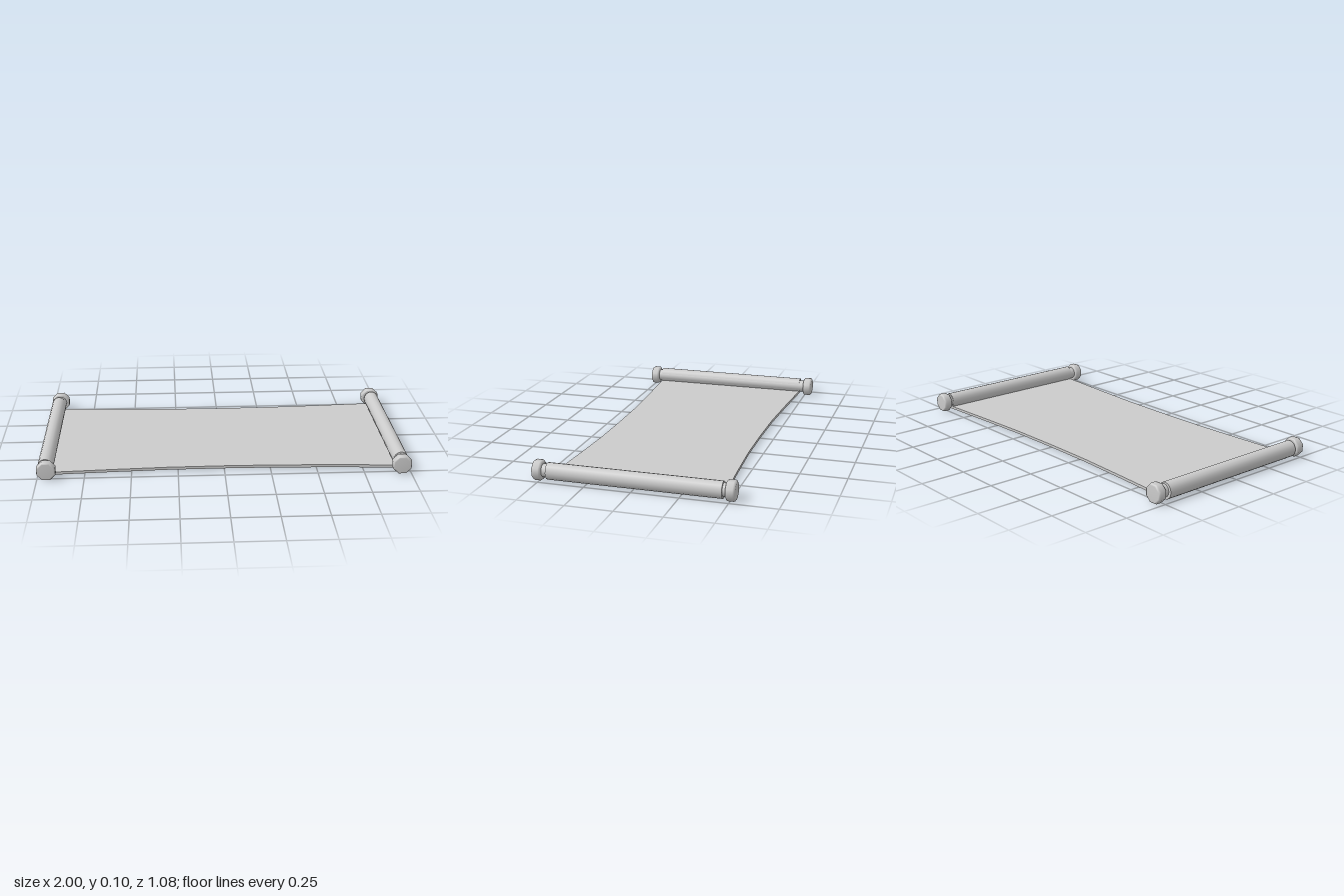
import * as THREE from 'three';

const material = new THREE.MeshStandardMaterial({ color: 0xcccccc });
const AXIS_Y = 0.05;

function add(parent, name, geometry) {
  const mesh = new THREE.Mesh(geometry, material);
  mesh.name = name;
  parent.add(mesh);
  return mesh;
}

// Eight-sided knob with bevelled rims, lying along z, flat side up
function knobGeometry() {
  const r = 0.05 / Math.cos(Math.PI / 8);
  const profile = [
    [0, -0.025], [r - 0.01, -0.025], [r - 0.003, -0.022], [r, -0.014],
    [r, 0.014], [r - 0.003, 0.022], [r - 0.01, 0.025], [0, 0.025],
  ].map(([x, y]) => new THREE.Vector2(x, y));
  return new THREE.LatheGeometry(profile, 8, Math.PI / 8).rotateX(Math.PI / 2);
}

// Rod with a knob at each end and the rolled-up part of the sheet around it
function roller(name, x, shift, rollX) {
  const group = new THREE.Group();
  group.name = name;
  group.position.set(x, AXIS_Y, shift);
  add(group, 'rod', new THREE.CylinderGeometry(0.035, 0.035, 1.02, 16).rotateX(Math.PI / 2));
  for (const side of [-1, 1]) {
    add(group, 'knob', knobGeometry()).position.z = side * 0.507;
  }
  const roll = add(group, 'sheetRoll',
    new THREE.CylinderGeometry(0.045, 0.045, 0.922, 16).rotateX(Math.PI / 2).scale(0.92, 1, 1));
  roll.position.set(rollX - x, 0, -shift - 0.002);
  return group;
}

// Thin unrolled sheet, narrowing towards the middle
function sheetGeometry() {
  const edge = [[-0.95, 0.459], [-0.92, 0.457], [-0.6, 0.439], [-0.3, 0.425], [0, 0.422],
    [0.3, 0.425], [0.6, 0.439], [0.92, 0.457], [0.95, 0.459]];
  const outline = [
    ...edge.map(([x, z]) => new THREE.Vector2(x, -z)),
    ...edge.map(([x, z]) => new THREE.Vector2(x, z + 0.005)).reverse(),
  ];
  return new THREE.ExtrudeGeometry(new THREE.Shape(outline), { depth: 0.015, bevelEnabled: false })
    .rotateX(-Math.PI / 2)
    .translate(0, 0.004, 0);
}

export function createModel() {
  const model = new THREE.Group();
  model.name = 'scroll';
  add(model, 'sheet', sheetGeometry());
  model.add(roller('rightRoller', -0.95, -0.008, -0.958));
  model.add(roller('leftRoller', 0.95, 0.003, 0.954));
  return model;
}
